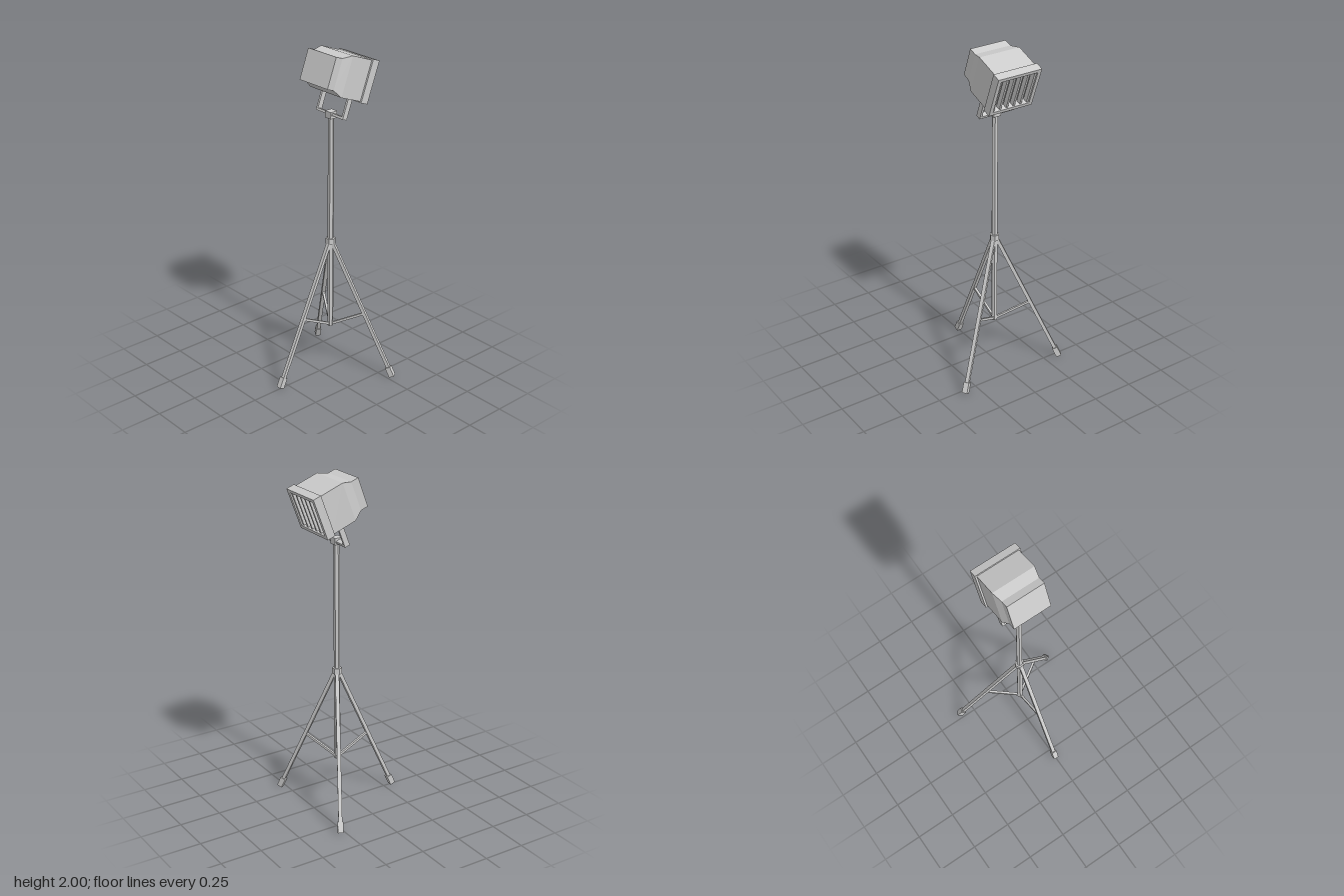
import * as THREE from 'three';

const grey = new THREE.MeshStandardMaterial({ color: 0xcccccc, flatShading: true });

function add(parent, name, geometry, x = 0, y = 0, z = 0) {
  const mesh = new THREE.Mesh(geometry, grey);
  mesh.name = name;
  mesh.position.set(x, y, z);
  parent.add(mesh);
  return mesh;
}

const box = (w, h, d) => new THREE.BoxGeometry(w, h, d);

// Square bar in the xy plane, running from (x0, y0) to (x1, y1)
function bar(parent, name, x0, y0, x1, y1, thick, wide) {
  const length = Math.hypot(x1 - x0, y1 - y0);
  const mesh = add(parent, name, box(thick, length, wide), (x0 + x1) / 2, (y0 + y1) / 2, 0);
  mesh.rotation.z = Math.atan2(x0 - x1, y1 - y0);
}

function rectangle(PathType, w, h) {
  return new PathType([[-w, -h], [w, -h], [w, h], [-w, h]].map(([x, y]) => new THREE.Vector2(x, y)));
}

function createStand() {
  const stand = new THREE.Group();
  stand.name = 'stand';
  stand.position.x = 0.085;
  add(stand, 'pole', new THREE.CylinderGeometry(0.018, 0.018, 1.335, 6), 0, 0.955, 0);
  add(stand, 'legCollar', new THREE.CylinderGeometry(0.029, 0.029, 0.035, 6), 0, 0.848, 0);
  add(stand, 'topCollar', box(0.048, 0.04, 0.048), 0, 1.627, 0);

  // Three legs, each with a rubber foot and a brace to the pole
  for (let i = 0; i < 3; i++) {
    const leg = new THREE.Group();
    leg.name = 'tripodLeg';
    leg.rotation.y = Math.PI / 3 + (i * Math.PI * 2) / 3;
    bar(leg, 'legTube', 0.013, 0.835, 0.386, 0.022, 0.02, 0.022);
    bar(leg, 'foot', 0.3665, 0.065, 0.393, 0.007, 0.032, 0.032);
    bar(leg, 'brace', 0.008, 0.3, 0.212, 0.402, 0.014, 0.014);
    stand.add(leg);
  }
  return stand;
}

function createHead() {
  // Local +x is the direction of the light; the origin is the middle of its front
  const head = new THREE.Group();
  head.name = 'lampHead';
  head.position.set(0.272, 1.8045, 0);
  head.rotation.z = -0.36;

  // Housing: a narrow back that flares to a larger front; stations are [x, half height, half width]
  const stations = [[-0.305, 0.09, 0.115], [-0.257, 0.09, 0.115], [-0.2, 0.118, 0.13], [-0.045, 0.118, 0.13]];
  const housing = new THREE.BoxGeometry(1, 1, 1, 3, 1, 1);
  const pos = housing.attributes.position;
  for (let i = 0; i < pos.count; i++) {
    const [x, h, w] = stations[Math.round((pos.getX(i) + 0.5) * 3)];
    pos.setXYZ(i, x, Math.sign(pos.getY(i)) * h, Math.sign(pos.getZ(i)) * w);
  }
  housing.computeVertexNormals();
  add(head, 'housing', housing);

  // Front frame with an opening
  const outline = rectangle(THREE.Shape, 0.14, 0.125);
  outline.holes.push(rectangle(THREE.Path, 0.118, 0.105));
  const frame = new THREE.ExtrudeGeometry(outline, { depth: 0.05, bevelEnabled: false });
  frame.rotateY(Math.PI / 2);
  add(head, 'frontFrame', frame, -0.05, 0, 0);

  // Upright grille bars
  for (let i = 0; i < 6; i++) {
    add(head, 'grilleBar', box(0.03, 0.21, 0.012), -0.023, 0, (i - 2.5) * 0.0445);
  }

  // U-shaped yoke
  const yokeX = -0.111;
  add(head, 'yokeBase', box(0.032, 0.014, 0.224), yokeX, -0.23, 0);
  for (const side of [-1, 1]) {
    add(head, 'yokeArm', box(0.032, 0.137, 0.013), yokeX, -0.1685, side * 0.1055);
  }
  return head;
}

export function createModel() {
  const model = new THREE.Group();
  model.name = 'tripodLamp';
  model.add(createStand(), createHead());
  return model;
}
